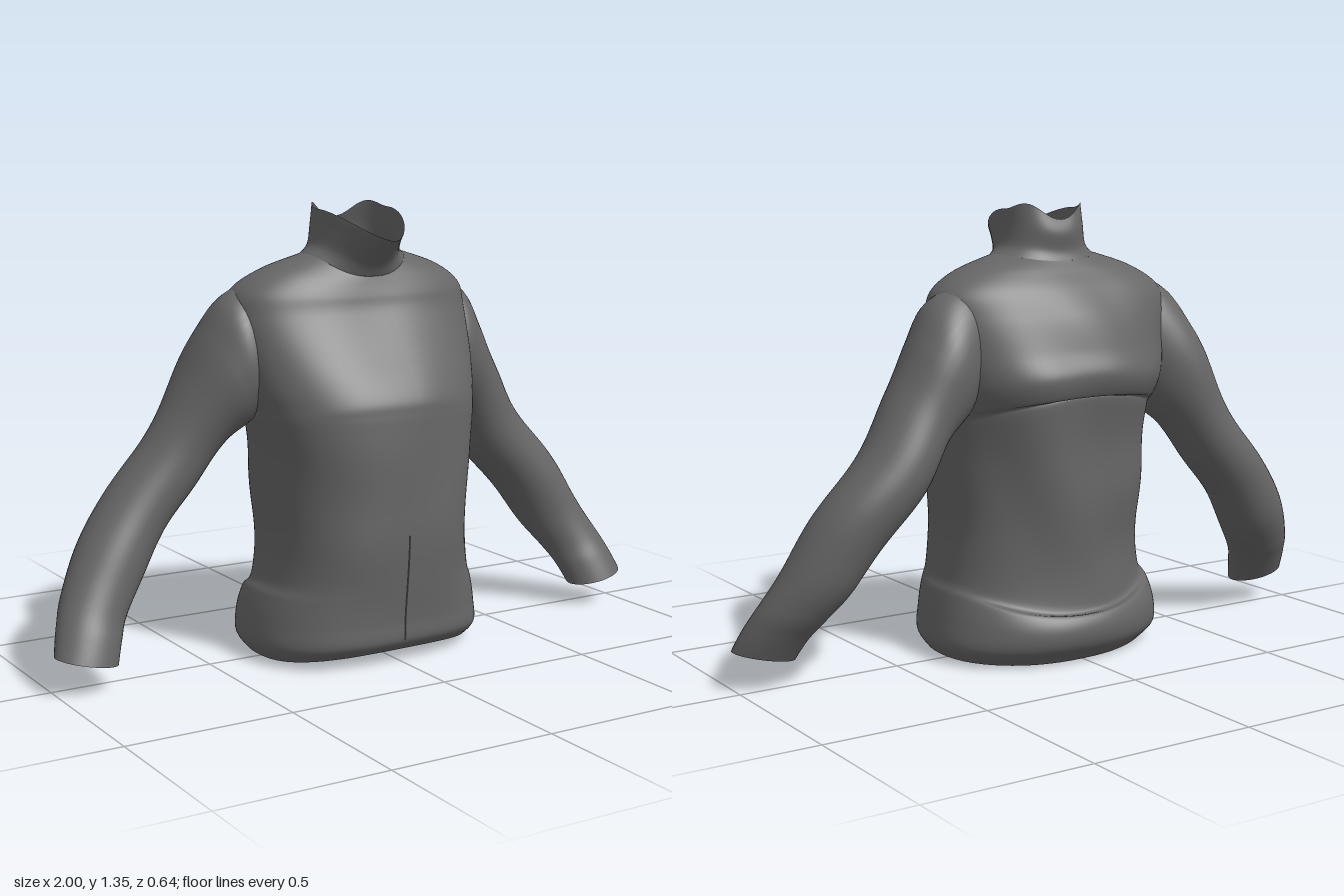
import * as THREE from 'three';

const material = new THREE.MeshStandardMaterial({ color: 0x666666, side: THREE.DoubleSide });

// Smooth interpolation through rows of numbers, t from 0 to 1
function sampleRows(rows, t) {
  const f = t * (rows.length - 1);
  const i = Math.min(Math.floor(f), rows.length - 2);
  const u = f - i;
  const row = k => rows[Math.max(0, Math.min(rows.length - 1, k))];
  return rows[0].map((_, c) => {
    const a = row(i - 1)[c], b = row(i)[c], d = row(i + 1)[c], e = row(i + 2)[c];
    return b + 0.5 * u * (d - a + u * (2 * a - 5 * b + 4 * d - e + u * (3 * (b - d) + e - a)));
  });
}

// Open tube made of closed rings; point(t, angle) gives each vertex
function loft(name, rings, sides, point) {
  const positions = [], index = [];
  for (let r = 0; r <= rings; r++) {
    for (let s = 0; s < sides; s++) {
      positions.push(...point(r / rings, (s / sides) * Math.PI * 2));
      if (r === rings) continue;
      const a = r * sides + s, b = r * sides + (s + 1) % sides;
      index.push(a, a + sides, b, b, a + sides, b + sides);
    }
  }
  const geometry = new THREE.BufferGeometry();
  geometry.setAttribute('position', new THREE.Float32BufferAttribute(positions, 3));
  geometry.setIndex(index);
  geometry.computeVertexNormals();
  const mesh = new THREE.Mesh(geometry, material);
  mesh.name = name;
  return mesh;
}

// Irregular cloth folds as a signed displacement
const folds = (x, y, z) =>
  0.6 * Math.sin(9 * x + 4 * y + 5 * z + 2.2 * Math.sin(5 * y - 4 * x + 1))
  + 0.4 * Math.sin(15 * y - 8 * x + 6 * z + 2 * Math.sin(7 * x + 3 * y));

const power = (v, p) => Math.sign(v) * Math.abs(v) ** p;

// Rows: y at front, side and back, half width, front z, middle z, back z
const bodyRows = [
  [0.035, 0.01, 0.0, 0.345, 0.26, 0, -0.24],
  [0.07, 0.055, 0.05, 0.373, 0.295, 0, -0.29],
  [0.13, 0.13, 0.10, 0.365, 0.30, 0, -0.30],
  [0.20, 0.20, 0.145, 0.347, 0.305, 0, -0.28],
  [0.28, 0.25, 0.165, 0.327, 0.31, 0, -0.24],
  [0.42, 0.40, 0.38, 0.312, 0.32, 0, -0.25],
  [0.60, 0.58, 0.61, 0.33, 0.315, 0, -0.262],
  [0.70, 0.69, 0.77, 0.343, 0.31, 0, -0.28],
  [0.75, 0.73, 0.795, 0.349, 0.307, 0, -0.28],
  [0.79, 0.76, 0.80, 0.354, 0.30, -0.005, -0.305],
  [0.85, 0.82, 0.86, 0.37, 0.268, -0.01, -0.318],
  [0.93, 0.92, 0.93, 0.388, 0.215, -0.025, -0.283],
  [1.03, 1.03, 1.03, 0.395, 0.155, -0.045, -0.247],
  [1.08, 1.10, 1.10, 0.375, 0.135, -0.045, -0.212],
  [1.11, 1.157, 1.15, 0.29, 0.122, -0.03, -0.17],
  [1.135, 1.20, 1.18, 0.16, 0.112, -0.015, -0.14],
];

const collarRows = [
  [1.135, 1.20, 1.18, 0.16, 0.112, -0.015, -0.14],
  [1.17, 1.225, 1.21, 0.135, 0.135, -0.01, -0.13],
  [1.21, 1.275, 1.26, 0.125, 0.18, 0, -0.135],
  [1.245, 1.33, 1.30, 0.122, 0.228, 0, -0.12],
];

// Cross-section of body or collar; a lower frontPower points the front
function section(rows, t, angle, frontPower, foldSize) {
  const [yFront, ySide, yBack, w, zFront, zMiddle, zBack] = sampleRows(rows, t);
  const c = Math.cos(angle), s = Math.sin(angle);
  const p = 2 / (s > 0 ? frontPower : 2.25);
  const y = ySide + ((s > 0 ? yFront : yBack) - ySide) * s * s;
  const x = w * power(c, p);
  const z = zMiddle + (s > 0 ? zFront - zMiddle : zMiddle - zBack) * power(s, p);
  const k = foldSize * folds(x, y, z);
  return [x + k * c, y, z + k * s];
}

// Body folds are deeper on the back and fade out at the neck
const bodyPoint = (t, a) => section(bodyRows, t, a, 2.6 - 0.2 * t ** 4,
  (0.006 + 0.006 * Math.max(0, -Math.sin(a))) * Math.min(1, 5 * (1 - t)));

// Rows from cuff to shoulder: outer x, y, inner x, y, front z, back z
const sleeveRows = [
  [1.0, 0.11, 0.815, 0.07, 0.118, -0.035],
  [0.975, 0.18, 0.79, 0.135, 0.09, -0.08],
  [0.94, 0.26, 0.76, 0.19, 0.06, -0.13],
  [0.87, 0.38, 0.69, 0.28, 0.03, -0.19],
  [0.76, 0.54, 0.60, 0.41, 0.005, -0.22],
  [0.64, 0.69, 0.50, 0.53, 0.012, -0.23],
  [0.54, 0.84, 0.41, 0.65, 0.035, -0.228],
  [0.478, 0.98, 0.35, 0.70, 0.065, -0.22],
  [0.42, 1.07, 0.31, 0.74, 0.078, -0.205],
  [0.34, 1.11, 0.27, 0.82, 0.04, -0.175],
  [0.22, 1.11, 0.20, 0.90, 0.0, -0.13],
];

function sleeve(name, side) {
  return loft(name, 80, 40, (t, angle) => {
    const [ox, oy, ix, iy, zFront, zBack] = sampleRows(sleeveRows, t);
    const c = Math.cos(angle), s = side * Math.sin(angle);
    const x = (ox + ix) / 2 + c * (ox - ix) / 2;
    const y = (oy + iy) / 2 + c * (oy - iy) / 2;
    const z = (zFront + zBack) / 2 + s * (zFront - zBack) / 2;
    const k = 0.011 * Math.sin(Math.PI * t) * folds(x, y, z + side);
    return [side * (x + k * c * 0.7), y + k * c * 0.7, z + k * s];
  });
}

export function createModel() {
  const group = new THREE.Group();
  group.name = 'jacket';

  // Body with gathered hem and overhanging back yoke
  group.add(loft('body', 130, 96, bodyPoint));

  // Standing collar, pointed at the front, raised at the back corners
  group.add(loft('collar', 20, 64, (t, a) => {
    const p = section(collarRows, t, a, 2.4 - 0.7 * t, 0);
    if (p[2] < 0) p[1] += 0.03 * t * t * Math.sin(2 * a) ** 2;
    return p;
  }));

  // Sleeves
  group.add(sleeve('leftSleeve', 1), sleeve('rightSleeve', -1));

  // Short seam up the lower front
  const seamPath = [];
  for (let i = 0; i <= 12; i++) {
    seamPath.push(new THREE.Vector3(...bodyPoint(0.07 + i * 0.021, Math.PI / 2)));
  }
  const seam = new THREE.Mesh(
    new THREE.TubeGeometry(new THREE.CatmullRomCurve3(seamPath), 30, 0.0025, 6), material);
  seam.name = 'frontSeam';
  group.add(seam);

  return group;
}
